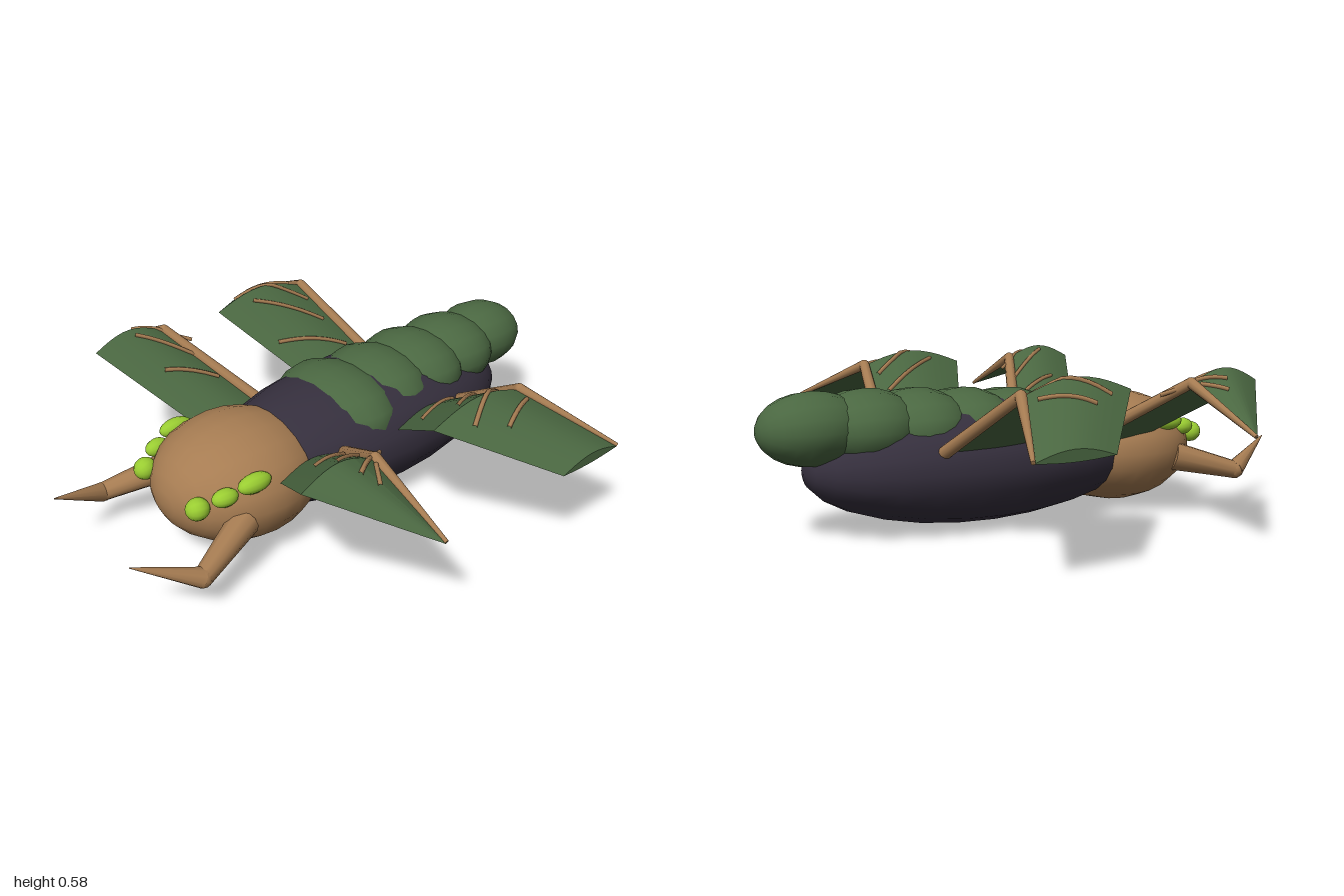
import * as THREE from 'three';
import { toCreasedNormals } from 'three/addons/utils/BufferGeometryUtils.js';

const mat = (name, color) => {
  const m = new THREE.MeshStandardMaterial({ color });
  m.name = name;
  return m;
};
const V = (x, y, z) => new THREE.Vector3(x, y, z);

export function createModel() {
  const brown = mat('tan brown', 0xa67c52);
  const green = mat('moss green', 0x4a6741);
  const dark = mat('dark purple', 0x352f3d);
  const lime = mat('lime', 0x9acd32);
  const model = new THREE.Group();
  model.name = 'insect';

  const add = (name, geo, material, parent = model) => {
    const m = new THREE.Mesh(geo, material);
    m.name = name;
    parent.add(m);
    return m;
  };

  // Ellipsoid with its poles on the z axis
  const ellipsoid = (name, material, c, r, ws = 16, hs = 12) => {
    const g = new THREE.SphereGeometry(1, ws, hs).rotateX(Math.PI / 2);
    const m = add(name, g, material);
    m.position.set(...c);
    m.scale.set(...r);
    return m;
  };

  // Tapered round rod between two points
  const rod = (name, material, a, b, ra, rb, parent = model) => {
    const d = b.clone().sub(a);
    const m = add(name, new THREE.CylinderGeometry(rb, ra, d.length(), 10), material, parent);
    m.position.copy(a).addScaledVector(d, 0.5);
    m.quaternion.setFromUnitVectors(V(0, 1, 0), d.normalize());
    return m;
  };

  // Body and head
  ellipsoid('abdomen', dark, [0, 0.235, -0.165], [0.31, 0.23, 0.68], 20, 14);
  ellipsoid('head', brown, [0, 0.228, 0.42], [0.285, 0.215, 0.31], 20, 14);

  // Overlapping shell plates: z, y, half width, half height
  [
    [-0.05, 0.33, 0.27, 0.15],
    [-0.24, 0.345, 0.235, 0.147],
    [-0.43, 0.36, 0.22, 0.142],
    [-0.62, 0.375, 0.195, 0.136],
    [-0.81, 0.385, 0.157, 0.127],
  ].forEach(([z, y, rx, ry], i) =>
    ellipsoid(`backPlate${i + 1}`, green, [0, y, z], [rx, ry, 0.19]));

  // Wing sections from root to tip: x, y, spar edge z, free edge z, camber
  const wings = [
    {
      name: 'frontWing',
      sections: [[0.22, 0.285, 0.115, 0.4, 0.035], [0.595, 0.525, 0.31, 0.605, 0.05], [0.91, 0.385, 0.31, 0.315, 0.002]],
      veins: [[0.36, 0.23, 0.43, 0.42], [0.45, 0.22, 0.57, 0.45], [0.53, 0.23, 0.65, 0.42], [0.62, 0.33, 0.7, 0.385]],
    },
    {
      name: 'rearWing',
      sections: [[0.22, 0.285, -0.455, -0.13, 0.04], [0.595, 0.525, -0.365, 0.055, 0.052], [0.91, 0.385, -0.52, -0.235, 0.03]],
      veins: [[0.3, -0.36, 0.4, -0.09], [0.42, -0.34, 0.56, -0.09], [0.52, -0.34, 0.66, -0.07], [0.65, -0.34, 0.72, -0.17]],
    },
  ];

  // Height of the upper wing surface at x, z
  const wingHeight = (sections, x, z) => {
    const i = x < sections[1][0] ? 0 : 1;
    const a = sections[i], b = sections[i + 1];
    const k = (x - a[0]) / (b[0] - a[0]);
    const [, y, z0, z1, h] = a.map((v, n) => v + (b[n] - v) * k);
    const t = THREE.MathUtils.clamp((z - z0) / (z1 - z0), 0, 1);
    return y + h * Math.sin(Math.PI * t);
  };

  // Closed cambered membrane, nearly flat below
  const membrane = (sections, side) => {
    const N = 10, R = 2 * N, pos = [], idx = [];
    const tri = (a, b, c) => (side > 0 ? idx.push(a, b, c) : idx.push(a, c, b));
    for (const [x, y, z0, z1, h] of sections) {
      for (let j = 0; j < R; j++) {
        const t = j <= N ? j / N : (R - j) / N;
        const lift = Math.sin(Math.PI * t) * h * (j <= N ? 1 : -0.25);
        pos.push(side * x, y + lift, z0 + (z1 - z0) * t);
      }
    }
    for (let i = 0; i < sections.length - 1; i++) {
      for (let j = 0; j < R; j++) {
        const a = i * R + j, b = i * R + (j + 1) % R;
        tri(a, b, a + R);
        tri(b, b + R, a + R);
      }
    }
    const tip = (sections.length - 1) * R;
    for (let j = 1; j < R - 1; j++) {
      tri(tip, tip + j, tip + j + 1);
      tri(0, j + 1, j);
    }
    const g = new THREE.BufferGeometry();
    g.setAttribute('position', new THREE.Float32BufferAttribute(pos, 3));
    g.setIndex(idx);
    return toCreasedNormals(g, 0.5);
  };

  for (const side of [1, -1]) {
    const label = side > 0 ? 'left' : 'right';

    for (const { name, sections, veins } of wings) {
      const wing = new THREE.Group();
      wing.name = `${label} ${name}`;
      model.add(wing);
      add('membrane', membrane(sections, side), green, wing);

      // Spar along the rear edge
      const [root, bend, tip] = sections.map(([x, y, z]) => V(side * x, y + 0.004, z));
      rod('innerSpar', brown, root, bend, 0.024, 0.02, wing);
      rod('outerSpar', brown, bend, tip, 0.02, 0.007, wing);
      const joint = add('sparJoint', new THREE.SphereGeometry(0.02, 10, 8), brown, wing);
      joint.position.copy(bend);

      // Raised veins following the camber
      for (const [xa, za, xb, zb] of veins) {
        const pts = [];
        for (let k = 0; k <= 6; k++) {
          const x = xa + (xb - xa) * k / 6, z = za + (zb - za) * k / 6;
          pts.push(V(side * x, wingHeight(sections, x, z) + 0.003, z));
        }
        add('vein', new THREE.TubeGeometry(new THREE.CatmullRomCurve3(pts), 12, 0.008, 6), brown, wing);
      }
    }

    // Jaws bent at an elbow
    const elbow = V(side * 0.315, 0.137, 0.785);
    rod(`${label} jawBase`, brown, V(side * 0.225, 0.2, 0.55), elbow, 0.055, 0.034);
    rod(`${label} jawTip`, brown, elbow, V(side * 0.242, 0.243, 1), 0.036, 0.002);
    add(`${label} jawElbow`, new THREE.SphereGeometry(0.035, 10, 8), brown).position.copy(elbow);

    // Row of three eyes
    [
      [0.235, 0.338, 0.51, 0.035, 0.034, 0.065],
      [0.205, 0.308, 0.61, 0.033, 0.032, 0.047],
      [0.16, 0.275, 0.69, 0.04, 0.04, 0.042],
    ].forEach(([x, y, z, ...r], i) => {
      const eye = ellipsoid(`${label} eye${i + 1}`, lime, [side * x, y, z], r, 12, 10);
      eye.rotation.y = -side * 0.15 * i;
    });
  }
  return model;
}
